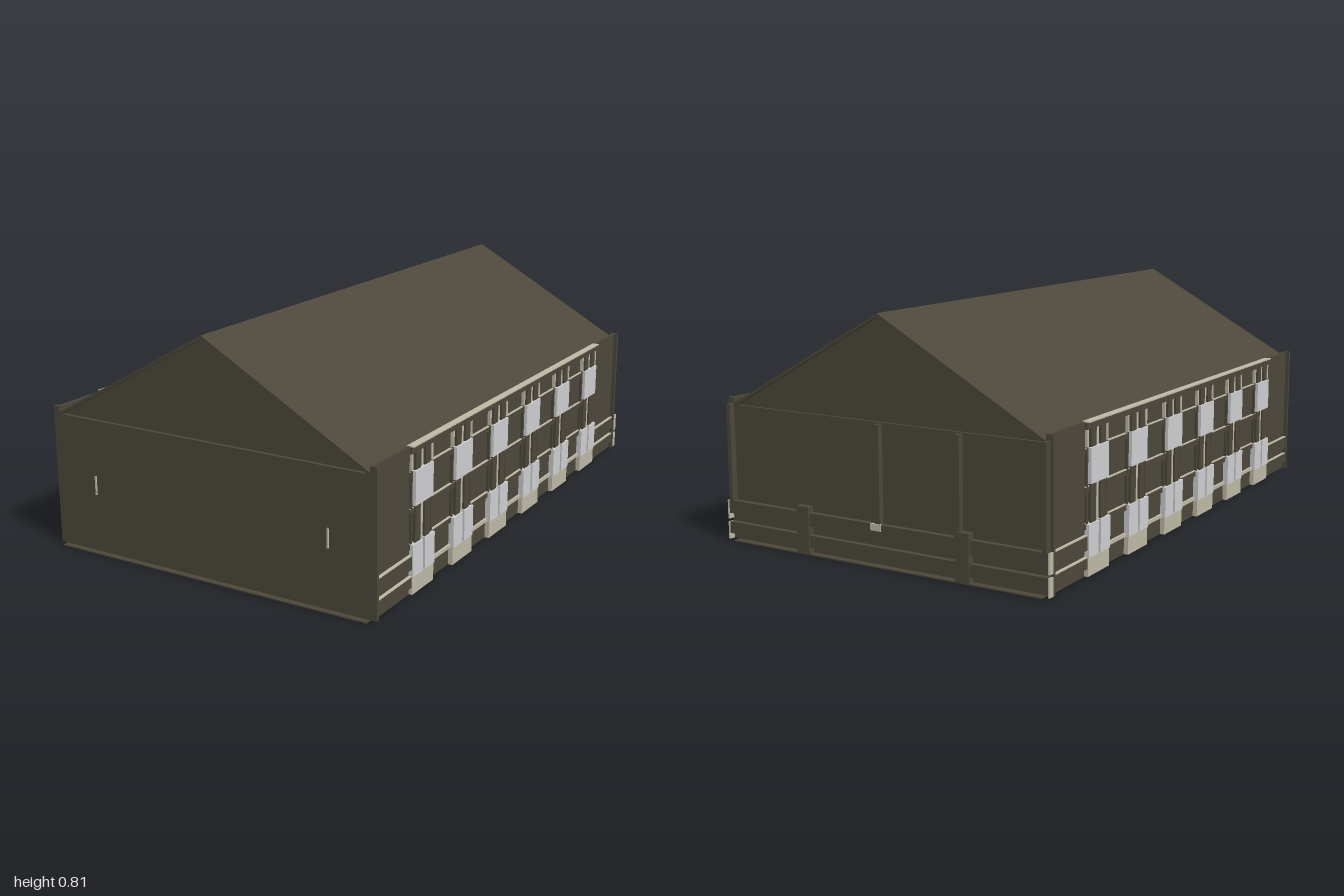
import * as THREE from 'three';

export function createModel() {
  const model = new THREE.Group();
  model.name = 'gabledHall';

  const mat = (name, color) => {
    const m = new THREE.MeshStandardMaterial({ color });
    m.name = name;
    return m;
  };
  const dark = mat('dark olive cladding', 0x4c473a);
  const beige = mat('beige trim', 0xbfbaa6);
  const grey = mat('light grey panel', 0xcfcfd2);

  // Box given by its lower and upper limits on each axis
  const box = (parent, name, m, [x0, x1], [y0, y1], [z0, z1]) => {
    const mesh = new THREE.Mesh(new THREE.BoxGeometry(Math.abs(x1 - x0), y1 - y0, z1 - z0), m);
    mesh.position.set((x0 + x1) / 2, (y0 + y1) / 2, (z0 + z1) / 2);
    mesh.name = name;
    parent.add(mesh);
    return mesh;
  };
  // Outline in the xy plane, extruded from z0 to z1
  const prism = (name, m, points, z0, z1) => {
    const shape = new THREE.Shape(points.map(([x, y]) => new THREE.Vector2(x, y)));
    const geo = new THREE.ExtrudeGeometry(shape, { depth: z1 - z0, bevelEnabled: false });
    geo.translate(0, 0, z0);
    const mesh = new THREE.Mesh(geo, m);
    mesh.name = name;
    model.add(mesh);
  };

  // Main shell
  const HALF = 0.6, OUT = 0.625, EAVE = 0.47, RIDGE = 0.805;
  box(model, 'floorSlab', dark, [-HALF, HALF], [0, 0.004], [-1, 1]);
  box(model, 'hallWalls', dark, [-HALF, HALF], [0.004, EAVE - 0.006], [-0.975, 0.98]);
  prism('gableWalls', dark, [[-HALF, EAVE - 0.012], [HALF, EAVE - 0.012], [0, RIDGE - 0.012]], -0.965, 0.967);
  prism('roof', dark, [
    [-HALF, EAVE - 0.012], [0, RIDGE - 0.012], [HALF, EAVE - 0.012],
    [HALF, EAVE], [0, RIDGE], [-HALF, EAVE],
  ], -0.977, 0.98);

  // Front slits
  for (const x of [-0.455, 0.455])
    box(model, 'frontSlit', beige, [x - 0.003, x + 0.003], [0.205, 0.27], [0.979, 0.984]);

  // Long facades, alike on both sides
  for (const s of [1, -1]) {
    const side = new THREE.Group();
    side.name = s > 0 ? 'leftFacade' : 'rightFacade';
    model.add(side);
    const add = (name, m, x0, x1, y, z) => box(side, name, m, [s * x0, s * x1], y, z);

    // Closed end bays with a low ledge and an outer post
    for (const e of [1, -1]) {
      const span = (a, b) => (e > 0 ? [a, b] : [-b, -a]);
      const end = e > 0 ? 0.98 : 0.975;
      add('endPanel', dark, HALF, 0.611, [0.004, 0.49], span(0.76, end));
      add('endPost', dark, HALF, OUT, [0.004, 0.49], span(end - 0.012, end));
      for (const [y0, y1] of [[0.03, 0.065], [0.09, 0.135]]) {
        add('endRail', dark, HALF, 0.622, [y0, y1], span(0.76, end - 0.012));
        add('endRailCap', beige, HALF, 0.622, [y1, y1 + 0.003], span(0.76, end - 0.012));
      }
    }

    // Wall between the end bays, with ledges and a capped top beam
    add('bayWall', dark, HALF, 0.606, [0.004, 0.487], [-0.76, 0.76]);
    add('topBeam', dark, HALF, 0.618, [0.465, 0.487], [-0.76, 0.76]);
    add('topCap', beige, HALF, OUT, [0.487, 0.491], [-0.76, 0.76]);
    for (const y of [0.17, 0.285, 0.405]) {
      add('bayLedge', dark, HALF, 0.614, [y - 0.018, y], [-0.76, 0.76]);
      add('bayLedgeCap', beige, HALF, 0.614, [y, y + 0.003], [-0.76, 0.76]);
    }
    add('lowRail', beige, HALF, 0.614, [0.064, 0.076], [-0.76, 0.76]);

    // Six pilasters
    for (let i = 0; i < 6; i++) {
      const c = 0.687 - i * 0.2745;
      const at = (a, b) => [c + a, c + b];
      add('plinth', beige, HALF, 0.622, [0.004, 0.064], at(-0.07, 0.07));
      add('upperPanel', grey, HALF, OUT, [0.295, 0.408], at(-0.058, 0.058));
      add('centreStrip', beige, HALF, 0.616, [0.064, 0.487], at(-0.006, 0.006));
      for (const k of [1, -1]) {
        const pair = (a, b) => (k > 0 ? at(a, b) : at(-b, -a));
        add('lowerPanel', grey, HALF, OUT, [0.064, 0.17], pair(0.007, 0.071));
        add('pilasterPost', dark, HALF, 0.619, [0.17, 0.487], pair(0.014, 0.048));
        add('edgeStrip', beige, HALF, 0.617, [0.41, 0.487], pair(0.06, 0.069));
        add('edgePost', dark, HALF, 0.615, [0.17, 0.41], pair(0.06, 0.069));
      }
    }
  }

  // Back wall: two rails with light ends, tall and short posts
  for (const [y0, y1] of [[0.025, 0.065], [0.095, 0.14]]) {
    box(model, 'backRail', dark, [-0.62, 0.62], [y0, y1], [-0.995, -0.975]);
    for (const s of [1, -1])
      box(model, 'backRailEnd', beige, [s * 0.62, s * OUT], [y0 - 0.02, y1], [-0.998, -0.975]);
  }
  for (const x of [0, -0.3])
    box(model, 'backTallPost', dark, [x - 0.01, x + 0.01], [0.14, 0.46], [-0.995, -0.975]);
  for (const x of [0.3, -0.32])
    box(model, 'backShortPost', dark, [x - 0.025, x + 0.025], [0.004, 0.16], [-1, -0.975]);
  for (const s of [1, -1])
    box(model, 'backCornerPost', dark, [s * 0.6, s * 0.615], [0.14, EAVE], [-0.998, -0.975]);
  box(model, 'backLatch', beige, [-0.015, 0.025], [0.12, 0.142], [-0.999, -0.99]);

  return model;
}
